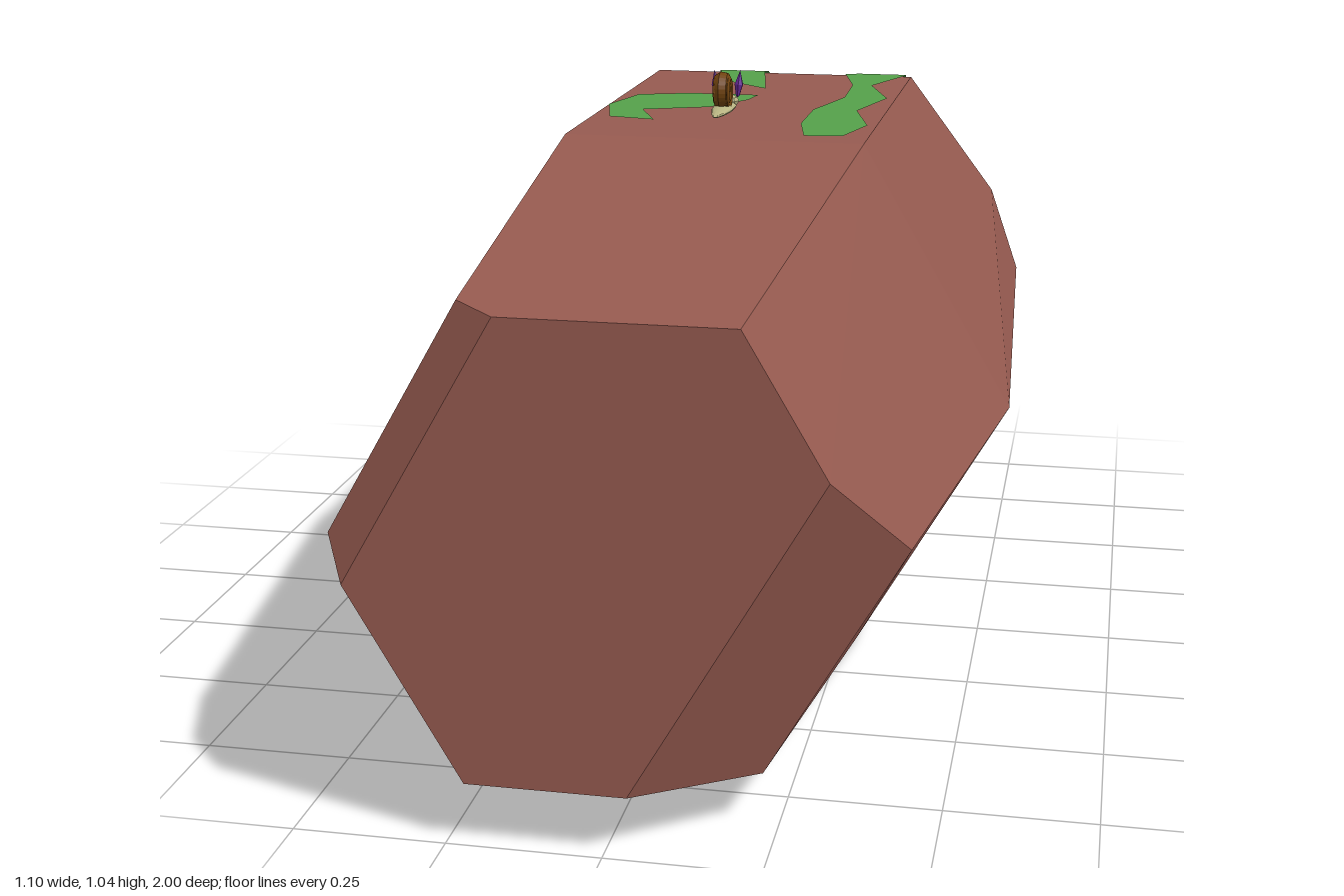
import * as THREE from 'three';
import { ConvexGeometry } from 'three/addons/geometries/ConvexGeometry.js';

const TOP = 0.957, FOLD = -0.71; // height of the log's top and where its back bevel starts

function mat(color, extra = {}) {
  return new THREE.MeshStandardMaterial({ color, flatShading: true, ...extra });
}

function add(parent, name, geometry, material) {
  const mesh = new THREE.Mesh(geometry, material);
  mesh.name = name;
  parent.add(mesh);
  return mesh;
}

// Part of a polygon on one side of the fold line
function clip(points, side) {
  const out = [];
  points.forEach((a, i) => {
    const b = points[(i + 1) % points.length];
    const da = (a[1] - FOLD) * side, db = (b[1] - FOLD) * side;
    if (da >= 0) out.push(a);
    if (da * db < 0) {
      const t = da / (da - db);
      out.push([a[0] + (b[0] - a[0]) * t, FOLD]);
    }
  });
  return out;
}

// Moss outline in x, z draped over the top and the back bevel
function mossPatch(points, material) {
  const patch = new THREE.Group();
  patch.name = 'mossPatch';
  for (const side of [1, -1]) {
    const piece = clip(points, side);
    if (piece.length < 3) continue;
    const shape = new THREE.Shape(piece.map(([x, z]) => new THREE.Vector2(x, -z)));
    const geo = new THREE.ShapeGeometry(shape).rotateX(-Math.PI / 2);
    const p = geo.attributes.position;
    for (let i = 0; i < p.count; i++) {
      p.setY(i, TOP + 0.004 - Math.max(0, FOLD - p.getZ(i)) * 1.03);
    }
    geo.computeVertexNormals();
    add(patch, 'moss', geo, material);
  }
  return patch;
}

function createSnail() {
  const snail = new THREE.Group();
  snail.name = 'snail';
  const skin = mat(0xb9b583), shellMat = mat(0x70430f), purple = mat(0x6a2a9a);

  // Foot, wide at the head and narrowing to the tail
  const foot = new THREE.SphereGeometry(1, 10, 8);
  const p = foot.attributes.position;
  for (let i = 0; i < p.count; i++) {
    const z = p.getZ(i), taper = 0.7 - 0.3 * z;
    p.setXYZ(i, p.getX(i) * 0.029 * taper, 0.009 + p.getY(i) * 0.012 * taper, z * 0.093);
  }
  foot.computeVertexNormals();
  add(snail, 'foot', foot, skin);
  const head = add(snail, 'head', new THREE.SphereGeometry(0.018, 8, 6), skin);
  head.scale.set(1.3, 0.75, 1.1);
  head.position.set(0, 0.016, -0.07);

  // Shell coiled around a flat core
  const coil = [];
  for (let i = 0; i <= 24; i++) {
    const a = -Math.PI / 2 - i / 24 * Math.PI * 3.5, r = 0.03 - 0.023 * i / 24;
    coil.push(new THREE.Vector3(0, Math.sin(a) * r, Math.cos(a) * r));
  }
  const shell = new THREE.Group();
  shell.name = 'shell';
  add(shell, 'shellCoil', new THREE.TubeGeometry(new THREE.CatmullRomCurve3(coil), 40, 0.014, 7), shellMat);
  add(shell, 'shellCore', new THREE.CylinderGeometry(0.03, 0.03, 0.022, 12).rotateZ(Math.PI / 2), shellMat);
  shell.position.set(0, 0.044, -0.006);
  shell.scale.x = 1.2;
  snail.add(shell);

  // Pointed eye stalks
  for (const s of [-1, 1]) {
    const profile = [[0, 0], [0.004, 0.004], [0.009, 0.026], [0.005, 0.038], [0, 0.054]];
    const stalk = add(snail, 'eyeStalk',
      new THREE.LatheGeometry(profile.map(([r, y]) => new THREE.Vector2(r, y)), 6), purple);
    stalk.position.set(s * 0.02, 0.022, -0.072);
    stalk.rotation.z = -s * 0.1;
  }
  snail.position.set(-0.033, TOP, -0.163);
  snail.rotation.y = 0.04;
  return snail;
}

export function createModel() {
  const model = new THREE.Group();
  model.name = 'mossyLog';

  // Hexagonal log: symmetric middle and back, unevenly chipped front
  const corners = [];
  for (const s of [-1, 1]) {
    corners.push(
      [s * 0.275, TOP, 0.1], [s * 0.55, 0.48, 0.1], [s * 0.275, 0, 0.1],
      [s * 0.275, TOP, FOLD], [s * 0.275, 0, -0.76],
      [s * 0.437, 0.66, -1], [s * 0.5, 0.48, -1], [s * 0.405, 0.24, -1]);
  }
  corners.push(
    [-0.15, 0.852, 1], [0.215, 0.852, 1], [0.345, 0.63, 1],
    [0.04, 0.105, 1], [-0.217, 0.105, 1], [-0.4, 0.42, 1],
    [-0.222, 0.859, 0.94], [-0.44, 0.48, 0.94],
    [0.225, 0.09, 0.85], [0.45, 0.48, 0.85]);
  add(model, 'log', new ConvexGeometry(corners.map(c => new THREE.Vector3(...c))), mat(0x965a50));

  // Moss patches
  const moss = mat(0x55a04a, { side: THREE.DoubleSide });
  const outlines = [
    [[-0.17, -1], [-0.21, -0.94], [-0.22, -0.83], [-0.16, -0.79], [-0.13, -0.67], [-0.09, -0.55],
      [0, -0.47], [-0.04, -0.7], [-0.01, -0.75], [0.03, -0.83], [0, -0.93], [-0.08, -1]],
    [[0.1, -0.93], [0.15, -0.93], [0.19, -0.87], [0.19, -0.83], [0.14, -0.8], [0.11, -0.82],
      [0.15, -0.86], [0.14, -0.89]],
    [[0.135, -0.7], [0.18, -0.715], [0.225, -0.78], [0.26, -0.75], [0.265, -0.7], [0.21, -0.55],
      [0.26, -0.39], [0.22, -0.23], [0.26, -0.07], [0.23, 0.05], [0.16, 0.06], [0.135, -0.07],
      [0.135, -0.23], [0.175, -0.39], [0.17, -0.55]],
    [[-0.14, -0.385], [0, -0.385], [-0.01, -0.32], [-0.07, -0.22], [-0.19, -0.17], [-0.145, -0.06],
      [-0.235, -0.08], [-0.27, -0.22], [-0.24, -0.35]],
  ];
  for (const outline of outlines) model.add(mossPatch(outline, moss));

  model.add(createSnail());
  return model;
}
